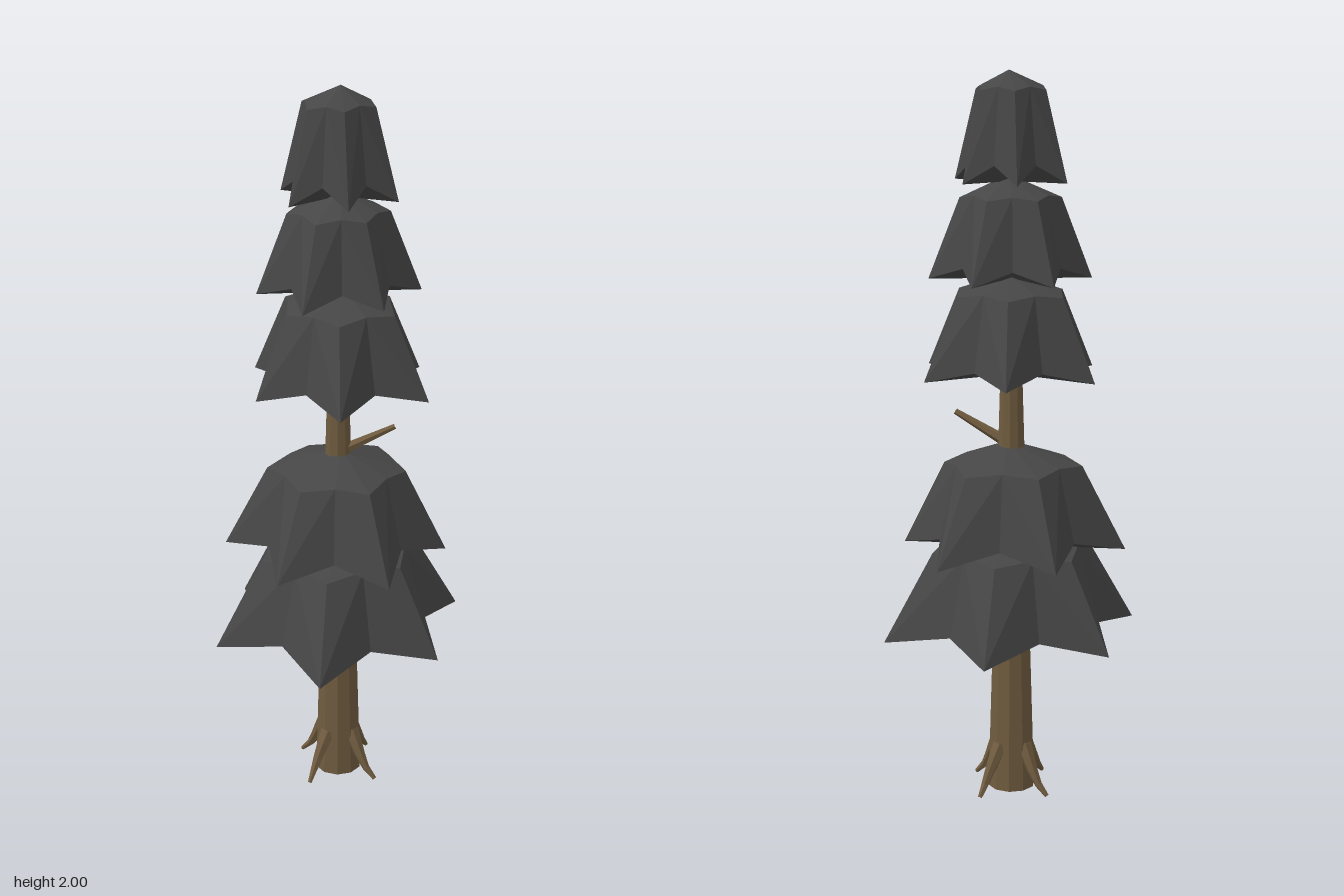
import * as THREE from 'three';

const needles = new THREE.MeshStandardMaterial({ color: 0x464646, flatShading: true });
needles.name = 'charcoalNeedles';
const bark = new THREE.MeshStandardMaterial({ color: 0x6f5b3f, flatShading: true });
bark.name = 'brownBark';

// Star-shaped skirt: six drooping tips [x, z], valleys between them, a shoulder and an apex.
function skirtGeometry(tips, tipY, valleyY, shoulderY, apexY) {
  const rim = [], shoulder = [];
  tips.forEach(([x, z], i) => {
    const [nx, nz] = tips[(i + 1) % tips.length];
    const mx = (x + nx) / 2, mz = (z + nz) / 2;
    rim.push([x, tipY, z], [mx * 0.79, valleyY, mz * 0.79]);
    shoulder.push([x * 0.62, shoulderY, z * 0.62], [mx * 0.6, shoulderY + 0.01, mz * 0.6]);
  });
  const under = [0, tipY, 0], apex = [0.008, apexY, 0];
  const pos = [];
  const tri = (...corners) => corners.forEach((c) => pos.push(...c));
  for (let i = 0; i < rim.length; i++) {
    const j = (i + 1) % rim.length;
    tri(under, rim[i], rim[j]);
    // fold each panel along the same diagonal on both sides of a tip
    if (i % 2) {
      tri(rim[i], shoulder[i], rim[j]);
      tri(shoulder[i], shoulder[j], rim[j]);
    } else {
      tri(rim[i], shoulder[i], shoulder[j]);
      tri(rim[i], shoulder[j], rim[j]);
    }
    tri(shoulder[i], apex, shoulder[j]);
  }
  const geo = new THREE.BufferGeometry();
  geo.setAttribute('position', new THREE.Float32BufferAttribute(pos, 3));
  geo.computeVertexNormals();
  return geo;
}

// Tapered, capped limb along a curve through a few points.
function limbGeometry(points, r0, r1, segments = 4, sides = 6) {
  const curve = new THREE.CatmullRomCurve3(points.map((p) => new THREE.Vector3(...p)));
  const geo = new THREE.TubeGeometry(curve, segments, r0, sides, false);
  const pos = geo.attributes.position, v = new THREE.Vector3();
  for (let i = 0; i < pos.count; i++) {
    const u = Math.floor(i / (sides + 1)) / segments;
    const c = curve.getPointAt(u);
    v.fromBufferAttribute(pos, i).sub(c).multiplyScalar(1 + (r1 / r0 - 1) * u).add(c);
    pos.setXYZ(i, v.x, v.y, v.z);
  }
  // close the tip with a fan
  const index = Array.from(geo.index.array), start = segments * (sides + 1);
  for (let i = 1; i < sides - 1; i++) index.push(start, start + i, start + i + 1);
  geo.setIndex(index);
  geo.computeVertexNormals();
  return geo;
}

export function createModel() {
  const tree = new THREE.Group();
  tree.name = 'pineTree';
  const add = (name, geometry, material) => {
    const mesh = new THREE.Mesh(geometry, material);
    mesh.name = name;
    tree.add(mesh);
    return mesh;
  };

  // Trunk
  add('trunk', new THREE.CylinderGeometry(0.027, 0.066, 1.3, 10), bark).position.y = 0.66;

  // Four roots around the foot
  for (let i = 0; i < 4; i++) {
    const root = add('root', limbGeometry(
      [[0.045, 0.14, 0], [0.075, 0.09, 0.004], [0.1, 0.045, 0.006], [0.133, 0.008, 0]], 0.024, 0.006), bark);
    root.rotation.y = i * Math.PI / 2;
  }

  // Bare stub between the two foliage masses
  add('branch', limbGeometry([[0.01, 1.005, -0.005], [0.075, 1.045, -0.04], [0.138, 1.084, -0.074]], 0.016, 0.008, 2), bark);

  // Foliage, bottom to top: tips, then tip, valley, shoulder and apex heights
  const tiers = [
    [[[0.345, 0], [0.187, 0.318], [-0.18, 0.315], [-0.348, 0], [-0.17, -0.3], [0.185, -0.315]], 0.47, 0.505, 0.71, 0.77],
    [[[0.273, 0.13], [0.025, 0.296], [-0.26, 0.176], [-0.275, -0.135], [-0.022, -0.32], [0.246, -0.168]], 0.715, 0.755, 0.945, 1.01],
    [[[0.175, 0.215], [-0.09, 0.235], [-0.258, 0.04], [-0.158, -0.2], [0.095, -0.24], [0.27, -0.04]], 1.195, 1.225, 1.415, 1.47],
    [[[0.195, 0.06], [0.052, 0.214], [-0.155, 0.15], [-0.2, -0.06], [-0.045, -0.205], [0.162, -0.15]], 1.455, 1.49, 1.67, 1.73],
    [[[0.115, 0.105], [-0.032, 0.162], [-0.155, 0.045], [-0.113, -0.105], [0.036, -0.15], [0.157, -0.05]], 1.712, 1.76, 1.95, 2.0],
  ];
  tiers.forEach((tier, i) => add(`foliageTier${i + 1}`, skirtGeometry(...tier), needles));

  return tree;
}
